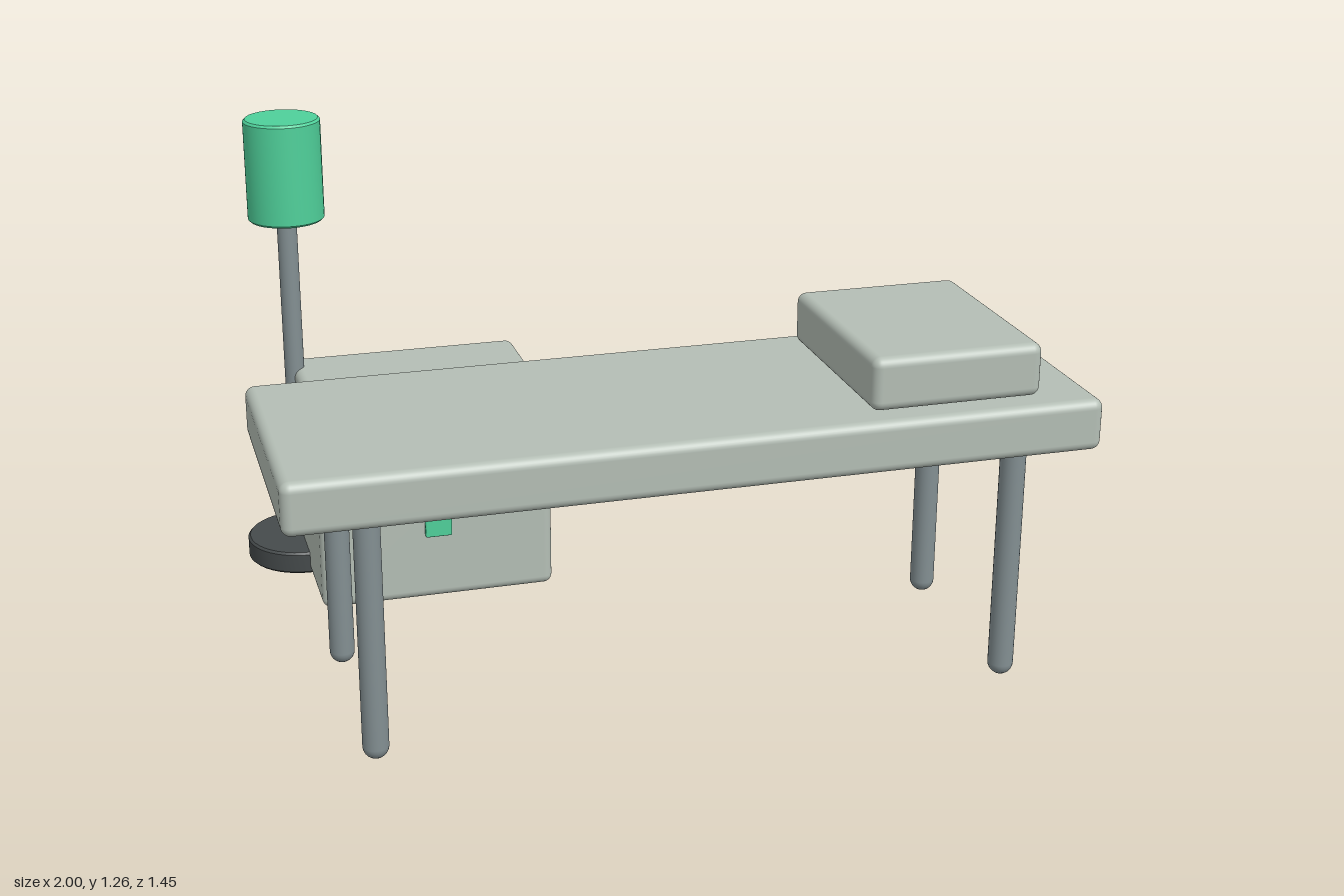
import * as THREE from 'three';
import { toCreasedNormals } from 'three/addons/utils/BufferGeometryUtils.js';
import { RoundedBoxGeometry } from 'three/addons/geometries/RoundedBoxGeometry.js';

const material = (name, color) => {
  const m = new THREE.MeshStandardMaterial({ color });
  m.name = name;
  return m;
};

export function createModel() {
  const group = new THREE.Group();
  const paleGrey = material('pale grey', 0xb4beb5);
  const green = material('green', 0x4fd09a);
  const steel = material('steel', 0x838f92);
  const charcoal = material('charcoal', 0x454a4b);

  const add = (name, geometry, mat, x, y, z) => {
    const mesh = new THREE.Mesh(geometry, mat);
    mesh.name = name;
    mesh.position.set(x, y, z);
    group.add(mesh);
    return mesh;
  };

  // Rounded box given by its extents on each axis
  const block = (name, mat, [x0, x1], [y0, y1], [z0, z1], r) =>
    add(name, new RoundedBoxGeometry(x1 - x0, y1 - y0, z1 - z0, 4, r), mat,
      (x0 + x1) / 2, (y0 + y1) / 2, (z0 + z1) / 2);

  // Upright rod with domed ends
  const rod = (name, r, height, x, z) =>
    add(name, new THREE.CapsuleGeometry(r, height - 2 * r, 6, 24), steel, x, height / 2, z);

  // Upright drum with a small bevel on both rims
  const drum = (name, mat, r, y0, y1, x, z) => {
    const b = 0.006, h = y1 - y0;
    const profile = [[0, 0], [r - b, 0], [r, b], [r, h - b], [r - b, h], [0, h]]
      .map(([px, py]) => new THREE.Vector2(px, py));
    const geometry = toCreasedNormals(new THREE.LatheGeometry(profile, 40), 0.6);
    return add(name, geometry, mat, x, y0, z);
  };

  // Bed
  block('bedTop', paleGrey, [-1, 1], [0.615, 0.747], [0.05, 0.725], 0.024);
  block('pillow', paleGrey, [0.418, 0.856], [0.75, 0.885], [0.11, 0.668], 0.024);
  for (const x of [-0.8, 0.8]) {
    for (const z of [0.135, 0.648]) rod('bedLeg', 0.032, 0.66, x, z);
  }

  // Cabinet with a cross on its front
  block('cabinet', paleGrey, [-0.803, -0.167], [0, 0.56], [-0.651, -0.172], 0.024);
  block('crossUpright', green, [-0.521, -0.449], [0.186, 0.458], [-0.172, -0.155], 0.004);
  block('crossBar', green, [-0.611, -0.357], [0.288, 0.358], [-0.164, -0.147], 0.004);

  // Floor lamp
  drum('lampBase', charcoal, 0.155, 0, 0.062, -0.8, -0.573);
  rod('lampPole', 0.027, 1.02, -0.8, -0.573);
  drum('lampShade', green, 0.103, 0.985, 1.264, -0.8, -0.573);

  return group;
}
